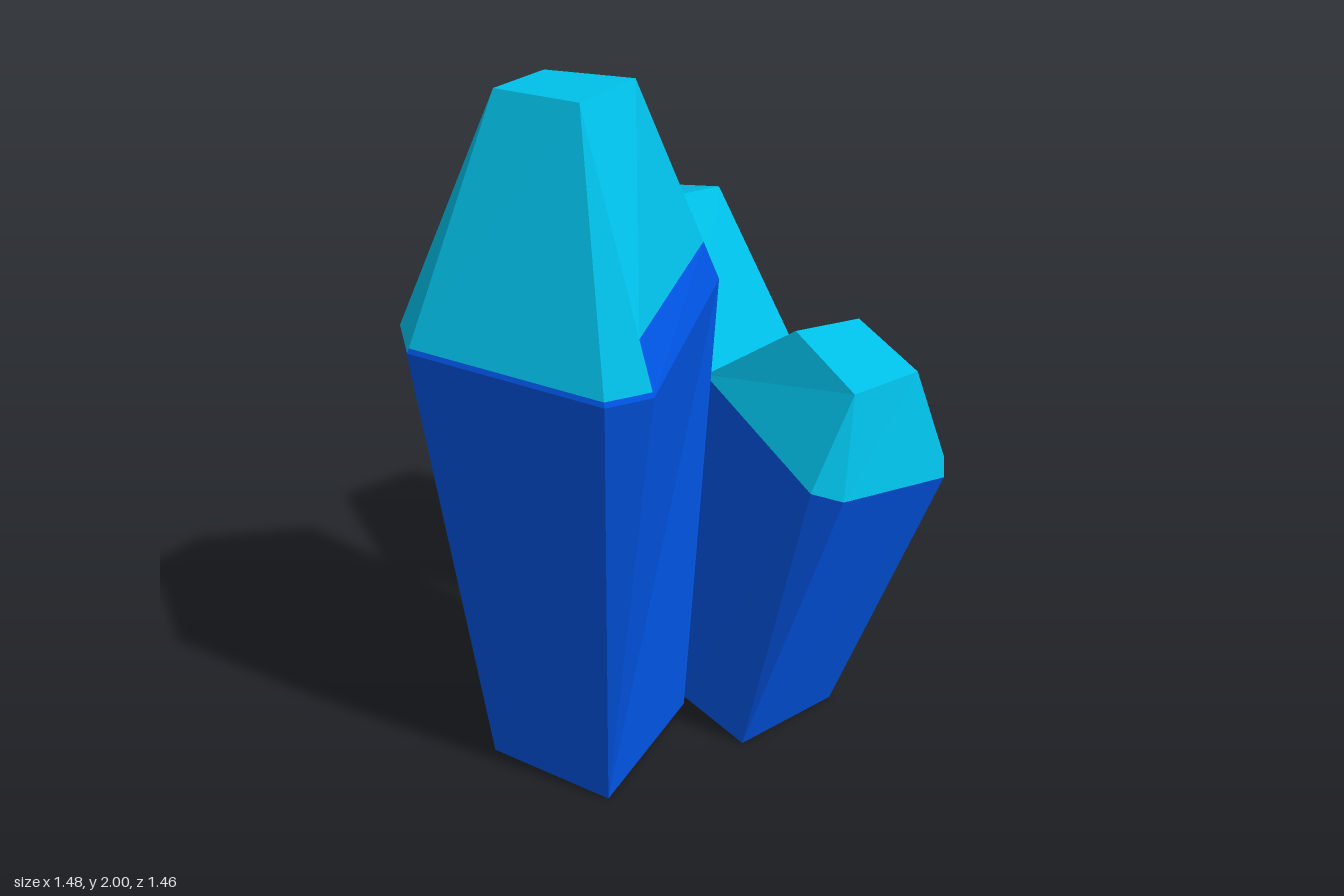
import * as THREE from 'three';

// The shafts are open underneath, so their insides show
const blue = new THREE.MeshStandardMaterial({ color: 0x0056e8, side: THREE.DoubleSide });
blue.name = 'deep blue';
const cyan = new THREE.MeshStandardMaterial({ color: 0x00c0e8, side: THREE.DoubleSide });
cyan.name = 'cyan';

// Flat-shaded mesh from triangles, leaving out those with no area
function facets(name, triangles, material) {
  const points = triangles
    .filter((t) => new THREE.Triangle(...t).getArea() > 1e-6)
    .flat();
  const geometry = new THREE.BufferGeometry().setFromPoints(points);
  geometry.computeVertexNormals();
  const mesh = new THREE.Mesh(geometry, material);
  mesh.name = name;
  return mesh;
}

// Band of faces between two rings
function band(lower, upper) {
  const out = [];
  lower.forEach((a, i) => {
    const j = (i + 1) % lower.length;
    out.push([a, lower[j], upper[j]], [a, upper[j], upper[i]]);
  });
  return out;
}

// Fan that closes a ring
function cap(ring) {
  return ring.slice(2).map((p, i) => [ring[0], ring[i + 1], p]);
}

// One crystal from its upright edges, in order left, front, right, back:
// [foot x z, shoulder, tip, tints]. The tints tell how far the blue climbs from
// shoulder to tip on the face before the edge and on the face after it.
function crystal(name, edges) {
  const foot = [], shoulder = [], tip = [], line = [];
  for (const [[x, z], mid, end, tints] of edges) {
    for (const tint of tints) {
      foot.push(new THREE.Vector3(x, 0, z));
      shoulder.push(new THREE.Vector3(...mid));
      tip.push(new THREE.Vector3(...end));
      line.push(new THREE.Vector3(...mid).lerp(tip[tip.length - 1], tint));
    }
  }
  const group = new THREE.Group();
  group.name = name;
  group.add(
    facets(name + 'Shaft', [...band(foot, shoulder), ...band(shoulder, line)], blue),
    facets(name + 'Tip', [...band(line, tip), ...cap(tip)], cyan),
  );
  return group;
}

export function createModel() {
  const model = new THREE.Group();
  model.name = 'crystalCluster';

  model.add(
    crystal('tallCrystal', [
      [[-0.565, 0.29], [-0.74, 1.38, 0.25], [-0.47, 2, 0.255], [0, 0]],
      [[-0.565, 0.29], [-0.72, 1.36, 0.38], [-0.47, 2, 0.255], [0, 0.02]],
      [[-0.25, 0.54], [-0.25, 1.36, 0.73], [-0.27, 2, 0.395], [0.02, 0.02]],
      [[-0.25, 0.54], [-0.13, 1.37, 0.71], [-0.27, 2, 0.395], [0.02, 0.2]],
      [[0.015, 0.14], [0.105, 1.42, 0.145], [-0.12, 2, 0.215], [0.2, 0.45]],
      [[-0.235, -0.05], [-0.19, 1.406, -0.123], [-0.274, 2, 0.145], [0.46, 0.46]],
      [[-0.34, -0.13], [-0.32, 1.4, -0.24], [-0.34, 2, 0.115], [0.28, 0]],
    ]),
    crystal('backCrystal', [
      [[-0.165, -0.235], [-0.39, 0.88, -0.44], [-0.18, 1.45, -0.43], [0.18, 0]],
      [[-0.165, -0.235], [-0.345, 0.92, -0.235], [-0.18, 1.45, -0.43], [0, 0]],
      [[0.02, 0.08], [0.04, 1.06, 0.06], [-0.06, 1.49, -0.3], [0, 0]],
      [[0.02, 0.08], [0.04, 1.06, 0.06], [0.025, 1.49, -0.3], [0, 0]],
      [[0.38, -0.15], [0.39, 1.03, -0.17], [0.18, 1.48, -0.39], [0, 0]],
      [[0.38, -0.15], [0.385, 0.97, -0.345], [0.18, 1.48, -0.39], [0.1, 0.23]],
      [[0.14, -0.51], [0.1, 0.86, -0.72], [0.035, 1.42, -0.59], [0.21, 0.21]],
      [[0.14, -0.51], [0, 0.86, -0.73], [0.035, 1.42, -0.59], [0.2, 0.2]],
    ]),
    crystal('shortCrystal', [
      [[0.02, 0.105], [0.08, 1.1, 0.08], [0.3, 1.3, 0.24], [0, 0]],
      [[0.165, 0.345], [0.3, 0.96, 0.52], [0.42, 1.21, 0.45], [0, 0]],
      [[0.165, 0.345], [0.385, 0.94, 0.54], [0.42, 1.21, 0.45], [0, 0]],
      [[0.465, 0.16], [0.71, 0.88, 0.345], [0.62, 1.2, 0.32], [0, 0]],
      [[0.465, 0.16], [0.735, 0.89, 0.25], [0.62, 1.2, 0.32], [0, 0]],
      [[0.28, -0.07], [0.515, 1.05, -0.12], [0.5, 1.27, 0.12], [0, 0]],
    ]),
  );
  return model;
}
